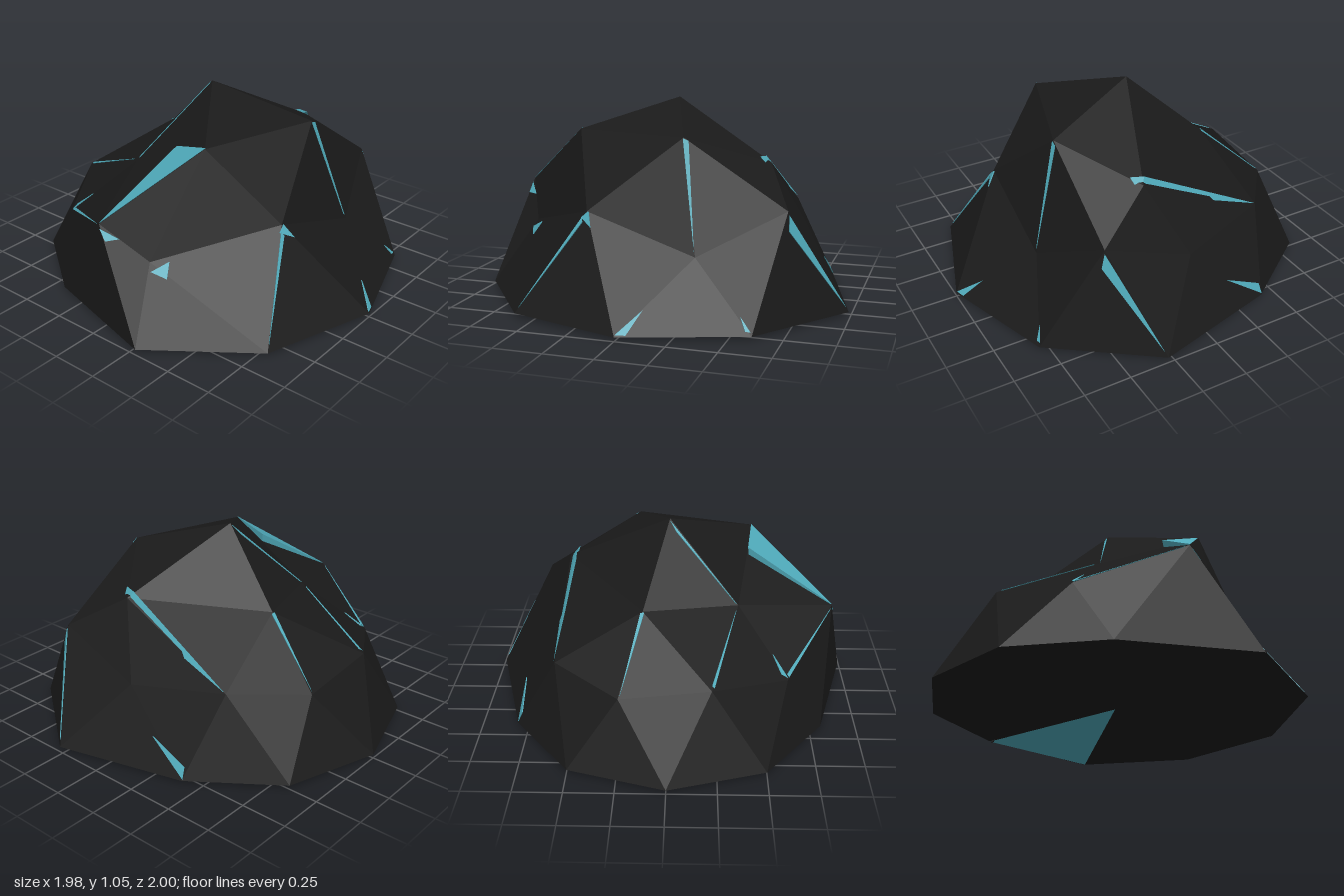
import * as THREE from 'three';
import { ConvexGeometry } from 'three/addons/geometries/ConvexGeometry.js';

// Rings of the faceted dome, each listed from +x round towards +z
const APEX = [0, 1.055, -0.04];
const UPPER = [[0.56, 0.75, 0.18], [0.18, 0.9, 0.48], [-0.45, 0.9, 0.28], [-0.36, 0.66, -0.26], [0.13, 0.7, -0.43]];
const CORNER = [[0.73, 0.38, 0], [0.29, 0.34, 0.65], [-0.76, 0.37, 0.18], [-0.61, 0.37, -0.53], [0.24, 0.39, -0.77]];
const MIDDLE = [[0.71, 0.56, 0.48], [-0.28, 0.53, 0.63], [-0.88, 0.56, -0.04], [-0.22, 0.44, -0.77], [0.58, 0.44, -0.5]];
const BASE = [[0.99, 0.28], [0.61, 0.8], [0, 1], [-0.61, 0.8], [-0.99, 0.28],
  [-0.81, -0.41], [-0.5, -0.84], [0, -1], [0.5, -0.84], [0.81, -0.41]].map(([x, z]) => [x, 0.02, z]);

// Crystal slivers showing at the seams: three corners each
const SHARDS = [
  [[0.175, 0.89, 0.48], [0.205, 0.88, 0.48], [0.28, 0.36, 0.64]],
  [[-0.31, 0.5, 0.64], [-0.27, 0.53, 0.63], [-0.24, 0.46, 0.68]],
  [[-0.3, 0.5, 0.64], [-0.29, 0.48, 0.65], [-0.59, 0.05, 0.79]],
  [[-0.77, 0.33, 0.2], [-0.68, 0.37, 0.25], [-0.72, 0.3, 0.27]],
  [[0, 0.03, 0.99], [0.05, 0.03, 0.97], [0.1, 0.13, 0.86]],
  [[0.55, 0.1, 0.77], [0.6, 0.04, 0.79], [0.58, 0.04, 0.8]],
  [[0.71, 0.54, 0.48], [0.73, 0.47, 0.51], [0.97, 0.05, 0.29]],
  [[0.8, 0.03, -0.41], [0.79, 0.08, -0.41], [0.8, 0.18, -0.2]],
  [[0.12, 0.69, -0.43], [0.14, 0.69, -0.43], [0.23, 0.4, -0.76]],
  [[-0.235, 0.45, -0.76], [-0.225, 0.46, -0.76], [-0.35, 0.65, -0.29]],
  [[0, 1.04, -0.05], [-0.03, 0.99, -0.08], [-0.35, 0.66, -0.26]],
  [[-0.62, 0.38, -0.53], [-0.59, 0.4, -0.53], [-0.54, 0.47, -0.44]],
  [[-0.62, 0.38, -0.52], [-0.61, 0.39, -0.51], [-0.87, 0.55, -0.06]],
  [[-0.89, 0.54, -0.03], [-0.88, 0.48, 0.01], [-0.85, 0.49, 0.05]],
];

function rockGeometry() {
  const points = [];
  const face = (a, b, c) => points.push(...a, ...c, ...b);
  for (let k = 0; k < 5; k++) {
    const n = (k + 1) % 5;
    const [a, an, v, vn, m] = [UPPER[k], UPPER[n], CORNER[k], CORNER[n], MIDDLE[k]];
    const [e0, e1, e2] = [BASE[2 * k], BASE[2 * k + 1], BASE[(2 * k + 9) % 10]];
    // cap, shoulder, then skirt
    face(APEX, a, an);
    face(a, v, m);
    face(a, m, an);
    face(an, m, vn);
    face(v, e0, m);
    face(m, e0, e1);
    face(m, e1, vn);
    face(v, e2, e0);
  }
  // flat underside
  BASE.forEach((p, i) => face([0, 0.02, 0], BASE[(i + 1) % 10], p));
  const geometry = new THREE.BufferGeometry();
  geometry.setAttribute('position', new THREE.Float32BufferAttribute(points, 3));
  geometry.computeVertexNormals();
  return geometry;
}

export function createModel() {
  const group = new THREE.Group();
  group.name = 'crystalRock';
  const stone = new THREE.MeshStandardMaterial({ color: 0x1a1a1a, flatShading: true });
  const crystal = new THREE.MeshStandardMaterial({ color: 0x4fa9b9, flatShading: true, side: THREE.DoubleSide });

  const rock = new THREE.Mesh(rockGeometry(), stone);
  rock.name = 'rock';
  group.add(rock);

  // push a corner out to just above the rock surface
  const centre = new THREE.Vector3(0, 0.2, 0);
  const probe = new THREE.Mesh(rock.geometry, new THREE.MeshBasicMaterial({ side: THREE.DoubleSide }));
  const onSurface = (p) => {
    const direction = new THREE.Vector3(...p).sub(centre).normalize();
    const hit = new THREE.Raycaster(centre, direction).intersectObject(probe)[0];
    const point = hit ? hit.point : new THREE.Vector3(...p);
    return point.addScaledVector(direction, 0.005);
  };

  // slivers taper inwards to a buried point
  const shards = new THREE.Group();
  shards.name = 'crystalShards';
  for (const corners of SHARDS) {
    const outer = corners.map(onSurface);
    const root = outer[0].clone().add(outer[1]).add(outer[2]).divideScalar(3).lerp(centre, 0.2);
    const shard = new THREE.Mesh(new ConvexGeometry([...outer, root]), crystal);
    shard.name = 'shard';
    shards.add(shard);
  }
  group.add(shards);

  const addChip = (name, material, corners) => {
    const chip = new THREE.Mesh(new ConvexGeometry(corners.map((p) => new THREE.Vector3(...p))), material);
    chip.name = name;
    group.add(chip);
  };
  // broad crystal face on the upper side
  addChip('broadCrystal', crystal,
    [[-0.88, 0.565, -0.04], [-0.42, 0.85, 0.07], [-0.445, 0.905, 0.28], [-0.45, 0.6, 0.1]]);
  // crystal facet on the underside
  addChip('undersideCrystal', crystal,
    [[0, 0.018, 0], [0.98, 0.018, 0.28], [0.8, 0.014, -0.41], [0.6, 0.03, -0.05]]);
  // raised spike along the shoulder and stone chip at the foot
  addChip('shoulderSpike', crystal,
    [[0.51, 0.785, 0.23], [0.53, 0.78, 0.16], [0.575, 0.71, 0.2], [0.585, 0.445, -0.5]]);
  addChip('footChip', stone,
    [[0.78, 0, -0.41], [0.8, 0.03, -0.4], [0.76, 0.03, -0.38], [0.8, 0.018, -0.38]]);
  return group;
}
